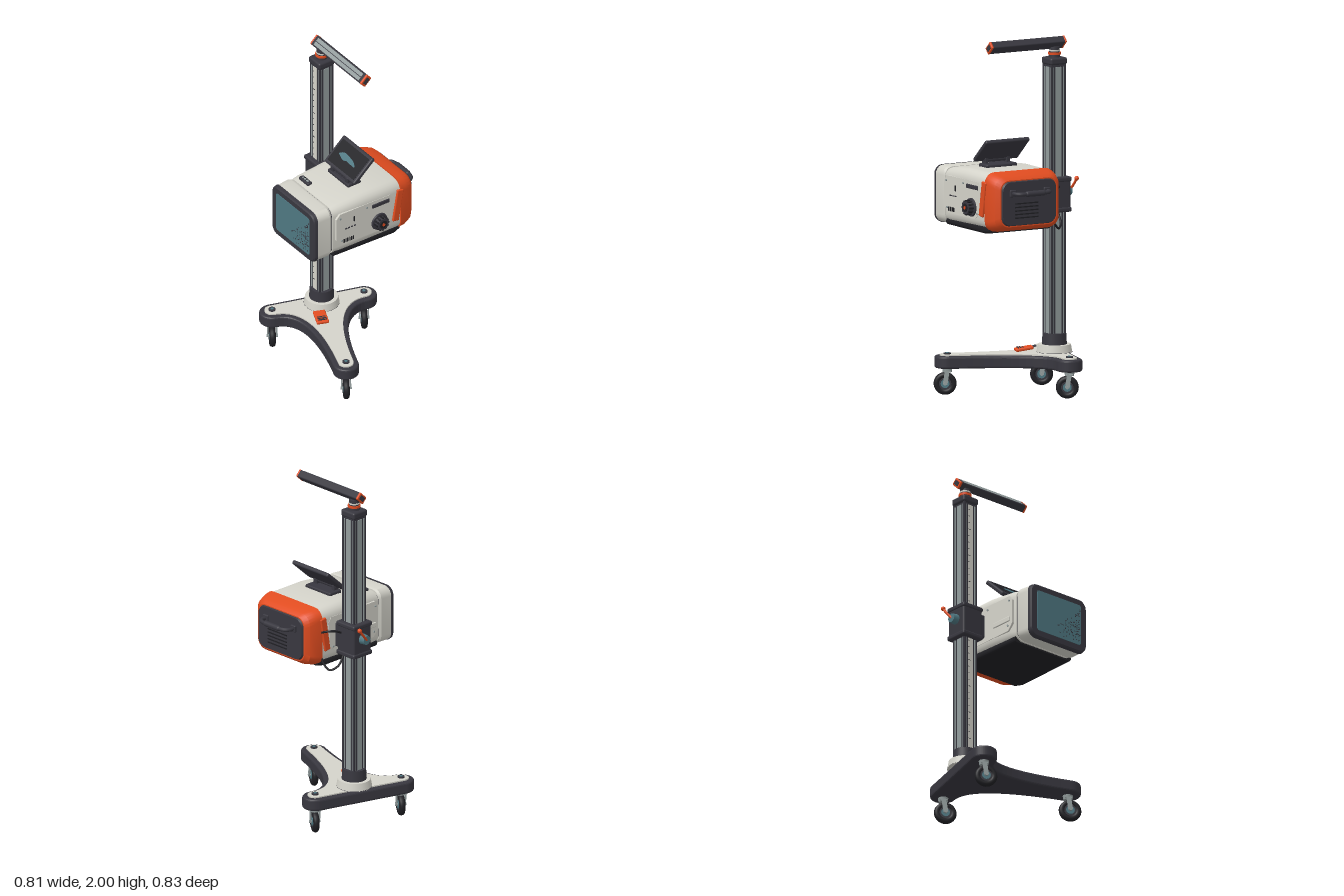
import * as THREE from 'three';
import { toCreasedNormals } from 'three/addons/utils/BufferGeometryUtils.js';
import { RoundedBoxGeometry } from 'three/addons/geometries/RoundedBoxGeometry.js';

const mat = (name, color) => Object.assign(new THREE.MeshStandardMaterial({ color }), { name });
const M = {
  light: mat('warm white', 0xd4d3ca), dark: mat('charcoal', 0x38373f), black: mat('black', 0x202024),
  orange: mat('orange', 0xe04c20), teal: mat('teal glass', 0x4f7882), silver: mat('silver', 0x939d9d),
};
const YAW = -0.23;

function add(parent, name, geo, material, p = [0, 0, 0], r = [0, 0, 0]) {
  const m = new THREE.Mesh(geo, material);
  m.name = name;
  m.position.set(...p);
  m.rotation.set(...r);
  parent.add(m);
  return m;
}
function group(parent, name, p = [0, 0, 0], ry = 0) {
  const g = new THREE.Group();
  g.name = name;
  g.position.set(...p);
  g.rotation.y = ry;
  parent.add(g);
  return g;
}
const box = (x, y, z) => new THREE.BoxGeometry(x, y, z);
const rbox = (x, y, z, r) => new RoundedBoxGeometry(x, y, z, 3, r);
const cyl = (r1, r2, h, n = 32) => new THREE.CylinderGeometry(r1, r2, h, n);
const tube = (pts, r) => new THREE.TubeGeometry(
  new THREE.CatmullRomCurve3(pts.map(p => new THREE.Vector3(...p))), 32, r, 10);

// Solid through rounded rectangles [z, width, yBottom, yTop, radius], listed back to front
function loft(sections, seg = 5) {
  const pos = [], idx = [], n = 4 * (seg + 1);
  for (const [z, w, y0, y1, r] of sections)
    for (let c = 0; c < 4; c++)
      for (let k = 0; k <= seg; k++) {
        const a = (c + k / seg) * Math.PI / 2;
        const sx = c === 0 || c === 3 ? 1 : -1;
        pos.push(sx * (w / 2 - r) + r * Math.cos(a), (c < 2 ? y1 - r : y0 + r) + r * Math.sin(a), z);
      }
  const last = (sections.length - 1) * n;
  for (let s = 0; s < last; s += n)
    for (let i = 0; i < n; i++) {
      const a = s + i, b = s + (i + 1) % n;
      idx.push(a, b, b + n, a, b + n, a + n);
    }
  for (let i = 1; i < n - 1; i++) idx.push(0, i + 1, i, last, last + i, last + i + 1);
  const g = new THREE.BufferGeometry();
  g.setAttribute('position', new THREE.Float32BufferAttribute(pos, 3));
  g.setIndex(idx);
  return toCreasedNormals(g, 0.5);
}

// Three-legged base: rounded leg ends joined by sweeping fillets
const MID = new THREE.Vector2(-0.19, -0.11);
const FEET = [[-0.06, -0.345], [0.32, 0.235], [-0.325, 0.125]];
function baseOutline(r) {
  const legs = FEET.map(([x, z]) => {
    const a = Math.atan2(z - MID.y, x - MID.x);
    const side = s => new THREE.Vector2(Math.cos(a + s * Math.PI / 2), Math.sin(a + s * Math.PI / 2));
    return { x, z, a, left: side(1), right: side(-1) };
  });
  const s = new THREE.Shape();
  s.moveTo(legs[0].x + r * legs[0].right.x, legs[0].z + r * legs[0].right.y);
  legs.forEach((l, i) => {
    const next = legs[(i + 1) % 3];
    s.absarc(l.x, l.z, r, l.a - Math.PI / 2, l.a + Math.PI / 2, false);
    const c = l.left.clone().add(next.right).multiplyScalar(r / (1 + l.left.dot(next.right))).add(MID);
    s.quadraticCurveTo(c.x, c.y, next.x + r * next.right.x, next.z + r * next.right.y);
  });
  return s;
}
const slab = (shape, depth, bevel) => new THREE.ExtrudeGeometry(shape, {
  depth, bevelEnabled: bevel > 0, bevelSize: bevel, bevelThickness: bevel, bevelSegments: 3, curveSegments: 16,
}).rotateX(Math.PI / 2);

function buildBase(root) {
  const base = group(root, 'base');
  add(base, 'baseFrame', slab(baseOutline(0.06), 0.045, 0.012), M.dark, [0, 0.21, 0]);
  add(base, 'baseTopPlate', slab(baseOutline(0.043), 0.012, 0), M.light, [0, 0.229, 0]);
  FEET.forEach(([x, z]) => {
    add(base, 'legCap', cyl(0.02, 0.02, 0.01, 24), M.dark, [x, 0.231, z]);
    add(base, 'legBolt', cyl(0.01, 0.01, 0.006, 6), M.teal, [x, 0.236, z]);
    const c = group(base, 'caster', [x, 0, z], Math.PI / 4);
    const side = [0, 0, Math.PI / 2];
    add(c, 'swivel', cyl(0.03, 0.025, 0.03, 20), M.silver, [0, 0.143, 0]);
    add(c, 'tyre', new THREE.TorusGeometry(0.046, 0.018, 12, 32), M.black, [0, 0.064, 0.012], [0, Math.PI / 2, 0]);
    add(c, 'wheel', cyl(0.04, 0.04, 0.026, 28), M.dark, [0, 0.064, 0.012], side);
    add(c, 'wheelHub', cyl(0.025, 0.025, 0.034, 12), M.teal, [0, 0.064, 0.012], side);
    add(c, 'axle', cyl(0.009, 0.009, 0.062, 12), M.silver, [0, 0.064, 0.012], side);
    for (const s of [-1, 1]) add(c, 'fork', box(0.006, 0.08, 0.026), M.silver, [s * 0.025, 0.1, 0.006], [-0.15, 0, 0]);
    add(c, 'forkBridge', box(0.056, 0.008, 0.04), M.silver, [0, 0.136, 0]);
  });
  const p = group(base, 'brakePedal', [-0.06, 0.24, 0.015], -0.59);
  add(p, 'pedal', rbox(0.1, 0.018, 0.07, 0.007), M.orange, [0, 0.004, 0], [0, 0, -0.15]);
  for (let i = -1; i < 2; i++) add(p, 'pedalGrip', box(0.006, 0.005, 0.05), M.dark, [0.02 + i * 0.014, 0.011, 0], [0, 0, -0.15]);
}

function buildColumn(root) {
  const col = group(root, 'column', [-0.17, 0, -0.115], YAW);
  add(col, 'hubRing', cyl(0.092, 0.1, 0.045, 40), M.light, [0, 0.25, 0]);
  add(col, 'hubBand', cyl(0.096, 0.1, 0.015, 40), M.dark, [0, 0.236, 0]);
  add(col, 'collar', cyl(0.066, 0.07, 0.065, 40), M.dark, [0, 0.303, 0]);
  add(col, 'mast', box(0.084, 1.55, 0.084), M.dark, [0, 1.08, 0]);
  // Extruded rails on all four faces
  for (let i = 0; i < 4; i++) {
    const f = group(col, 'mastFace', [0, 1.08, 0], i * Math.PI / 2);
    add(f, 'centreStrip', box(0.034, 1.5, 0.008), i === 0 ? M.light : M.silver, [0, 0, 0.042]);
    for (const s of [-1, 1]) add(f, 'edgeRail', box(0.008, 1.5, 0.008), M.silver, [s * 0.033, 0, 0.042]);
    add(f, 'cornerPost', box(0.012, 1.54, 0.012), M.dark, [0.041, 0, 0.041]);
  }
  for (let i = 0; i < 36; i++) {
    const w = i % 4 ? 0.007 : 0.014;
    add(col, 'scaleMark', box(w, 0.003, 0.002), M.black, [-0.015 + w / 2, 0.4 + i * 0.04, 0.0465]);
  }
  add(col, 'mastCap', rbox(0.108, 0.04, 0.108, 0.012), M.dark, [0, 1.862, 0]);
  // Carriage with clamp knob and lever
  add(col, 'carriage', rbox(0.135, 0.2, 0.135, 0.012), M.dark, [0, 1.115, 0]);
  for (const y of [1.03, 1.2]) add(col, 'carriageBand', rbox(0.145, 0.028, 0.145, 0.01), M.dark, [0, y, 0]);
  add(col, 'headArm', rbox(0.09, 0.14, 0.1, 0.01), M.dark, [0.09, 1.115, 0]);
  add(col, 'clampKnob', cyl(0.026, 0.03, 0.035, 12), M.teal, [-0.085, 1.125, 0], [0, 0, Math.PI / 2]);
  add(col, 'clampLever', tube([[-0.098, 1.125, 0], [-0.105, 1.16, -0.03], [-0.107, 1.195, -0.06]], 0.007), M.orange);
  add(col, 'leverBall', new THREE.SphereGeometry(0.013, 16, 12), M.orange, [-0.107, 1.2, -0.062]);
  // Tilted top bar
  add(col, 'neck', cyl(0.028, 0.032, 0.06, 24), M.dark, [0, 1.91, 0]);
  add(col, 'neckRing', cyl(0.036, 0.036, 0.013, 24), M.orange, [0, 1.903, 0]);
  add(col, 'neckCollar', cyl(0.031, 0.031, 0.008, 24), M.light, [0, 1.92, 0]);
  const bar = group(col, 'topBar', [0.183, 1.962, 0]);
  bar.rotation.x = 0.75;
  add(bar, 'barBody', rbox(0.475, 0.044, 0.062, 0.007), M.dark);
  for (const s of [-1, 1]) {
    add(bar, 'barStrip', box(0.43, 0.004, 0.021), M.silver, [0, 0.0215, s * 0.0125]);
    add(bar, 'barEnd', rbox(0.014, 0.045, 0.064, 0.006), M.orange, [s * 0.238, 0, 0]);
    add(bar, 'barEndPlate', box(0.004, 0.026, 0.04), M.dark, [s * 0.2445, 0, 0]);
  }
}

function buildHead(root) {
  const h = group(root, 'head', [0.124, 0, 0.04], YAW);
  add(h, 'body', loft([[-0.26, 0.43, 0.965, 1.275, 0.06], [-0.22, 0.44, 0.962, 1.285, 0.06], [0, 0.44, 0.96, 1.287, 0.06],
    [0.17, 0.424, 0.955, 1.272, 0.055], [0.215, 0.41, 0.955, 1.262, 0.05]]), M.light);
  add(h, 'seam', loft([[0.21, 0.4, 0.96, 1.257, 0.05], [0.23, 0.4, 0.96, 1.257, 0.05]]), M.dark);
  add(h, 'hood', loft([[0.222, 0.405, 0.953, 1.265, 0.05], [0.235, 0.418, 0.948, 1.27, 0.05], [0.325, 0.41, 0.945, 1.265, 0.05]]), M.light);
  add(h, 'bezel', loft([[0.315, 0.414, 0.942, 1.268, 0.05], [0.332, 0.41, 0.945, 1.265, 0.05], [0.339, 0.396, 0.952, 1.258, 0.045]]), M.dark);
  add(h, 'lens', loft([[0.336, 0.32, 0.985, 1.228, 0.014], [0.3415, 0.32, 0.985, 1.228, 0.014]]), M.teal);
  add(h, 'underPan', loft([[-0.245, 0.4, 0.95, 0.99, 0.018], [-0.2, 0.424, 0.944, 0.99, 0.018], [0.205, 0.412, 0.946, 0.985, 0.018]]), M.black);
  add(h, 'rearShell', loft([[-0.336, 0.37, 0.99, 1.252, 0.055], [-0.315, 0.415, 0.972, 1.27, 0.06],
    [-0.27, 0.445, 0.96, 1.283, 0.06], [-0.235, 0.45, 0.957, 1.29, 0.06]]), M.orange);
  add(h, 'rearPanel', loft([[-0.346, 0.345, 1.0, 1.242, 0.05], [-0.33, 0.362, 0.994, 1.248, 0.05]]), M.dark);
  for (let i = 0; i < 5; i++) add(h, 'rearVent', box(0.15, 0.007, 0.006), M.black, [0.02, 1.04 + i * 0.02, -0.346]);
  // Speckled pattern on the lens
  let seed = 7;
  const rnd = () => (seed = (seed * 16807) % 2147483647) / 2147483647;
  for (let i = 0; i < 90; i++) {
    const u = Math.sqrt(rnd());
    add(h, 'lensDot', box(0.005, 0.005, 0.002), M.dark, [-0.01 + u * 0.163, 1.0 + rnd() * (0.06 + u * 0.14), 0.342]);
  }
  // Rear carry handle
  add(h, 'handle', tube([[-0.11, 1.18, -0.34], [-0.11, 1.18, -0.375], [-0.09, 1.18, -0.4], [0, 1.18, -0.408],
    [0.09, 1.18, -0.4], [0.11, 1.18, -0.375], [0.11, 1.18, -0.34]], 0.011), M.dark);
  add(h, 'handleGrip', new THREE.CapsuleGeometry(0.016, 0.1, 6, 16), M.dark, [0, 1.18, -0.406], [0, 0, Math.PI / 2]);
  for (const s of [-1, 1]) {
    add(h, 'handleFoot', rbox(0.04, 0.04, 0.016, 0.006), M.dark, [s * 0.11, 1.18, -0.348]);
    add(h, 'sideLatch', rbox(0.016, 0.2, 0.042, 0.006), M.orange, [s * 0.224, 1.14, -0.215], [-0.17, 0, 0]);
  }
  // Service panels on both sides
  const pts = [[-0.2, 1.06], [-0.165, 1.018], [0.13, 1.018], [0.175, 1.06], [0.185, 1.2], [0.165, 1.228], [-0.175, 1.228], [-0.2, 1.2]];
  const panel = new THREE.Shape(pts.map(p => new THREE.Vector2(...p)));
  const panelGeo = new THREE.ExtrudeGeometry(panel, { depth: 0.444, bevelEnabled: false }).rotateY(Math.PI / 2);
  add(h, 'sidePanels', panelGeo, M.light, [-0.222, 0, 0]);
  add(h, 'sideVent', rbox(0.012, 0.024, 0.12, 0.005), M.dark, [0.222, 1.195, -0.1]);
  add(h, 'indexMark', box(0.004, 0.032, 0.007), M.black, [0.223, 1.165, 0.08]);
  for (let i = 0; i < 6; i++) add(h, 'tickMark', box(0.004, 0.024, i % 2 ? 0.005 : 0.008), M.black, [0.223, 1.043, 0.15 - i * 0.013]);
  for (let i = 0; i < 4; i++) add(h, 'dashMark', box(0.004, 0.007, 0.012), M.dark, [0.223, 1.12, 0.135 - i * 0.02]);
  for (const [y, z] of [[1.2, 0.175], [1.05, 0.165], [1.05, -0.15], [1.205, -0.005]])
    add(h, 'panelScrew', cyl(0.006, 0.006, 0.454, 10), M.silver, [0, y, z], [0, 0, Math.PI / 2]);
  add(h, 'leftRail', rbox(0.012, 0.03, 0.14, 0.005), M.light, [-0.222, 1.09, 0.11]);
  // Focus knob
  const k = group(h, 'focusKnob', [0.222, 1.08, -0.09]);
  k.rotation.z = -Math.PI / 2;
  add(k, 'knobSkirt', cyl(0.05, 0.053, 0.012, 36), M.dark, [0, 0.004, 0]);
  add(k, 'knobBody', cyl(0.036, 0.039, 0.035, 30), M.dark, [0, 0.024, 0]);
  for (let i = 0; i < 12; i++) {
    const a = i * Math.PI / 6;
    add(k, 'knobRib', box(0.008, 0.03, 0.01), M.black, [0.038 * Math.cos(a), 0.024, 0.038 * Math.sin(a)], [0, -a, 0]);
  }
  add(k, 'knobRing', cyl(0.024, 0.024, 0.004, 24), M.black, [0, 0.042, 0]);
  add(k, 'knobCentre', cyl(0.009, 0.009, 0.004, 16), M.orange, [0, 0.0445, 0]);
  // Bubble level on top
  add(h, 'levelCase', rbox(0.092, 0.022, 0.032, 0.008), M.dark, [-0.108, 1.272, 0.177]);
  add(h, 'levelVial', new THREE.CapsuleGeometry(0.007, 0.045, 4, 12), M.silver, [-0.108, 1.281, 0.177], [0, 0, Math.PI / 2]);
  for (const s of [-1, 1]) add(h, 'levelLine', box(0.003, 0.004, 0.016), M.black, [-0.108 + s * 0.01, 1.287, 0.177]);
  // Tilting display
  add(h, 'displayFoot', rbox(0.2, 0.022, 0.09, 0.008), M.dark, [0, 1.292, -0.01]);
  add(h, 'displayHinge', cyl(0.013, 0.013, 0.17, 20), M.dark, [0, 1.322, 0.012], [0, 0, Math.PI / 2]);
  for (const s of [-1, 1]) add(h, 'hingeBlock', rbox(0.026, 0.045, 0.036, 0.006), M.dark, [s * 0.07, 1.312, 0.01]);
  const d = group(h, 'display', [0, 1.383, -0.046]);
  d.rotation.x = 0.73;
  add(d, 'displayCase', rbox(0.285, 0.024, 0.182, 0.009), M.dark);
  add(d, 'displayGlass', box(0.25, 0.003, 0.145), M.black, [0, 0.0115, 0]);
  const blob = new THREE.Shape();
  blob.moveTo(-0.085, 0);
  blob.splineThru([[-0.05, -0.022], [0.01, -0.018], [0.05, -0.008], [0.07, 0.012], [0, 0.01], [-0.03, 0.018], [-0.085, 0]].map(p => new THREE.Vector2(...p)));
  add(d, 'displayTrace', slab(blob, 0.002, 0), M.teal, [0, 0.0145, 0.005]);
}

export function createModel() {
  const root = new THREE.Group();
  root.name = 'standMountedInstrument';
  buildBase(root);
  buildColumn(root);
  buildHead(root);
  // Loose cables between carriage and head
  add(root, 'cableLow', tube([[-0.14, 1.03, -0.17], [-0.125, 0.965, -0.21], [-0.085, 0.94, -0.235], [-0.05, 0.97, -0.24], [-0.02, 1.04, -0.235]], 0.006), M.black);
  add(root, 'cableHigh', tube([[-0.12, 1.15, -0.17], [-0.105, 1.17, -0.215], [-0.075, 1.17, -0.24], [-0.02, 1.15, -0.245]], 0.006), M.black);
  return root;
}
